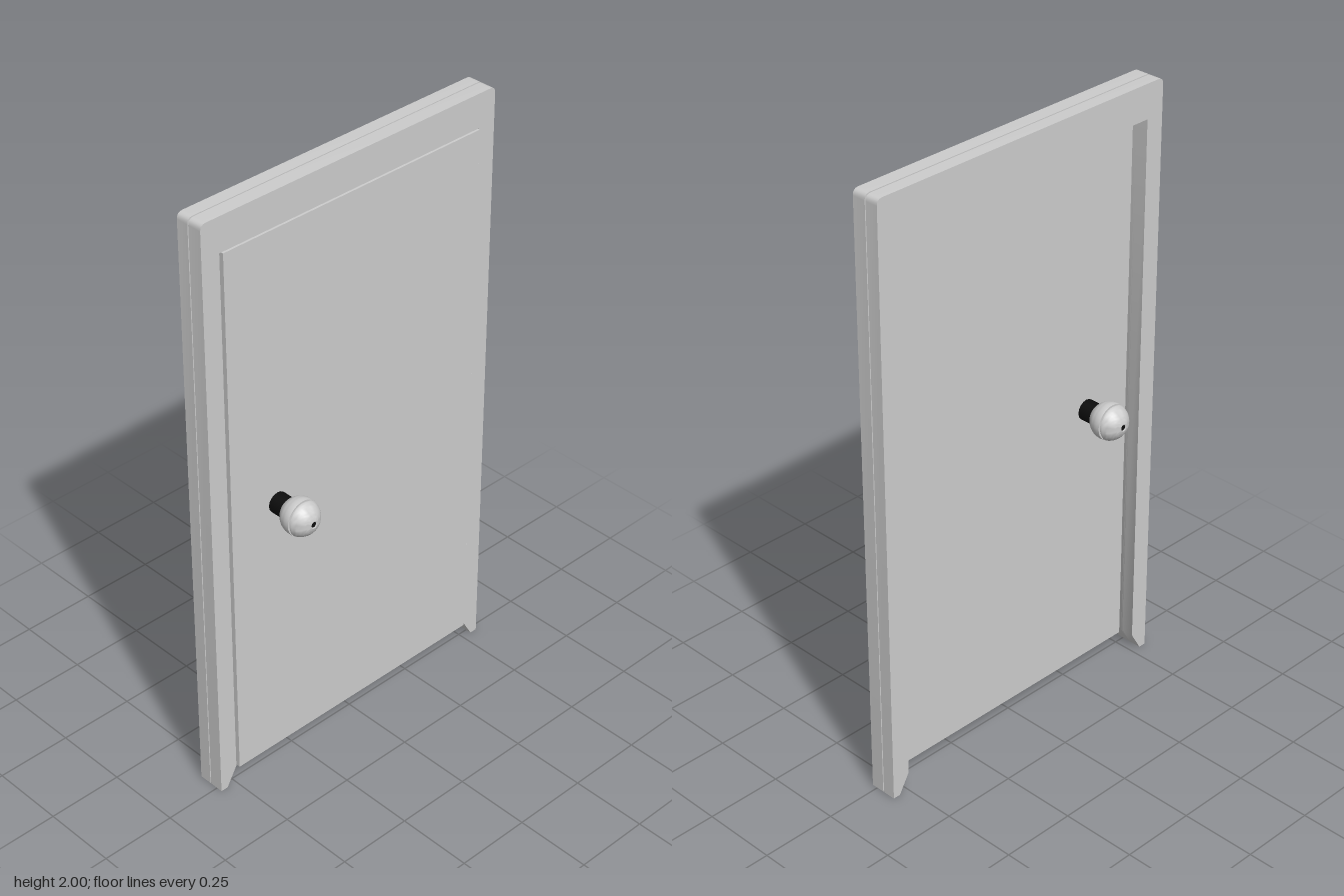
import * as THREE from 'three';
import { toCreasedNormals } from 'three/addons/utils/BufferGeometryUtils.js';

const grey = new THREE.MeshStandardMaterial({ color: 0xcccccc });
grey.name = 'paintedGrey';
const black = new THREE.MeshStandardMaterial({ color: 0x0c0c0c });
black.name = 'blackMetal';

function add(parent, name, geometry, material, x = 0, y = 0, z = 0) {
  const mesh = new THREE.Mesh(geometry, material);
  mesh.name = name;
  mesh.position.set(x, y, z);
  parent.add(mesh);
  return mesh;
}

// Door surround outline: rounded top corners, open bottom, tapered feet
function frameSlice(x0, x1, inset) {
  const w = 0.56 - inset, h = 2 - inset, r = 0.02, inner = 0.497, head = 1.888;
  const s = new THREE.Shape();
  s.moveTo(-w, 0);
  s.lineTo(-w, h - r);
  s.quadraticCurveTo(-w, h, -w + r, h);
  s.lineTo(w - r, h);
  s.quadraticCurveTo(w, h, w, h - r);
  s.lineTo(w, 0);
  s.lineTo(0.535, 0);
  s.lineTo(inner, 0.065);
  s.lineTo(inner, head);
  s.lineTo(-inner, head);
  s.lineTo(-inner, 0.065);
  s.lineTo(-0.535, 0);
  const g = new THREE.ExtrudeGeometry(s, { depth: x1 - x0, bevelEnabled: false, curveSegments: 4 });
  g.rotateY(Math.PI / 2);
  g.translate(x0, 0, 0);
  return toCreasedNormals(g, 0.6);
}

// Turned knob profile along its axis: ball with a slit and a hollow tip
function knobGeometry() {
  const c = 0.121, R = 0.06, slit = 0.135;
  const pts = [];
  const ball = (from, to, n) => {
    for (let i = 0; i <= n; i++) {
      const t = from + (to - from) * i / n;
      pts.push(new THREE.Vector2(Math.max(R * Math.sin(t), 0), c - R * Math.cos(t)));
    }
  };
  const angle = (d) => Math.acos((c - d) / R);
  ball(0, angle(slit - 0.003), 14);
  pts.push(new THREE.Vector2(0.053, slit - 0.003), new THREE.Vector2(0.053, slit + 0.003));
  ball(angle(slit + 0.003), Math.PI - 0.2, 10);
  pts.push(new THREE.Vector2(0.009, 0.178), new THREE.Vector2(0.008, 0.17));
  return toCreasedNormals(new THREE.LatheGeometry(pts, 32), 0.6);
}

export function createModel() {
  const model = new THREE.Group();
  model.name = 'door';

  // Surround with a fine groove around its outer edge
  const frame = new THREE.Group();
  frame.name = 'frame';
  model.add(frame);
  add(frame, 'frameBack', frameSlice(-0.073, -0.031, 0), grey);
  add(frame, 'frameGroove', frameSlice(-0.031, -0.026, 0.003), grey);
  add(frame, 'frameFront', frameSlice(-0.026, 0.02, 0), grey);

  // Door leaf, flush on one side and recessed on the other
  add(model, 'doorPanel', new THREE.BoxGeometry(0.05, 1.828, 0.983), grey, 0, 0.972, -0.0035);

  // Hinges bridging the narrow gap
  for (const y of [0.32, 0.975, 1.705]) {
    add(model, 'hinge', new THREE.BoxGeometry(0.044, 0.135, 0.014), grey, 0.001, y, -0.493);
  }

  // Matching knob on each side
  const ball = knobGeometry();
  for (const side of [1, -1]) {
    const knob = new THREE.Group();
    knob.name = side > 0 ? 'knobLeft' : 'knobRight';
    knob.position.set(0, 0.975, 0.311);
    knob.rotation.z = -side * Math.PI / 2;
    model.add(knob);
    add(knob, 'knobBall', ball, grey);
    add(knob, 'knobStem', new THREE.CylinderGeometry(0.034, 0.034, 0.06, 16), black, 0, 0.052, 0);
    add(knob, 'keyhole', new THREE.CylinderGeometry(0.0095, 0.0095, 0.004, 8), black, 0, 0.175, 0);
  }
  return model;
}
